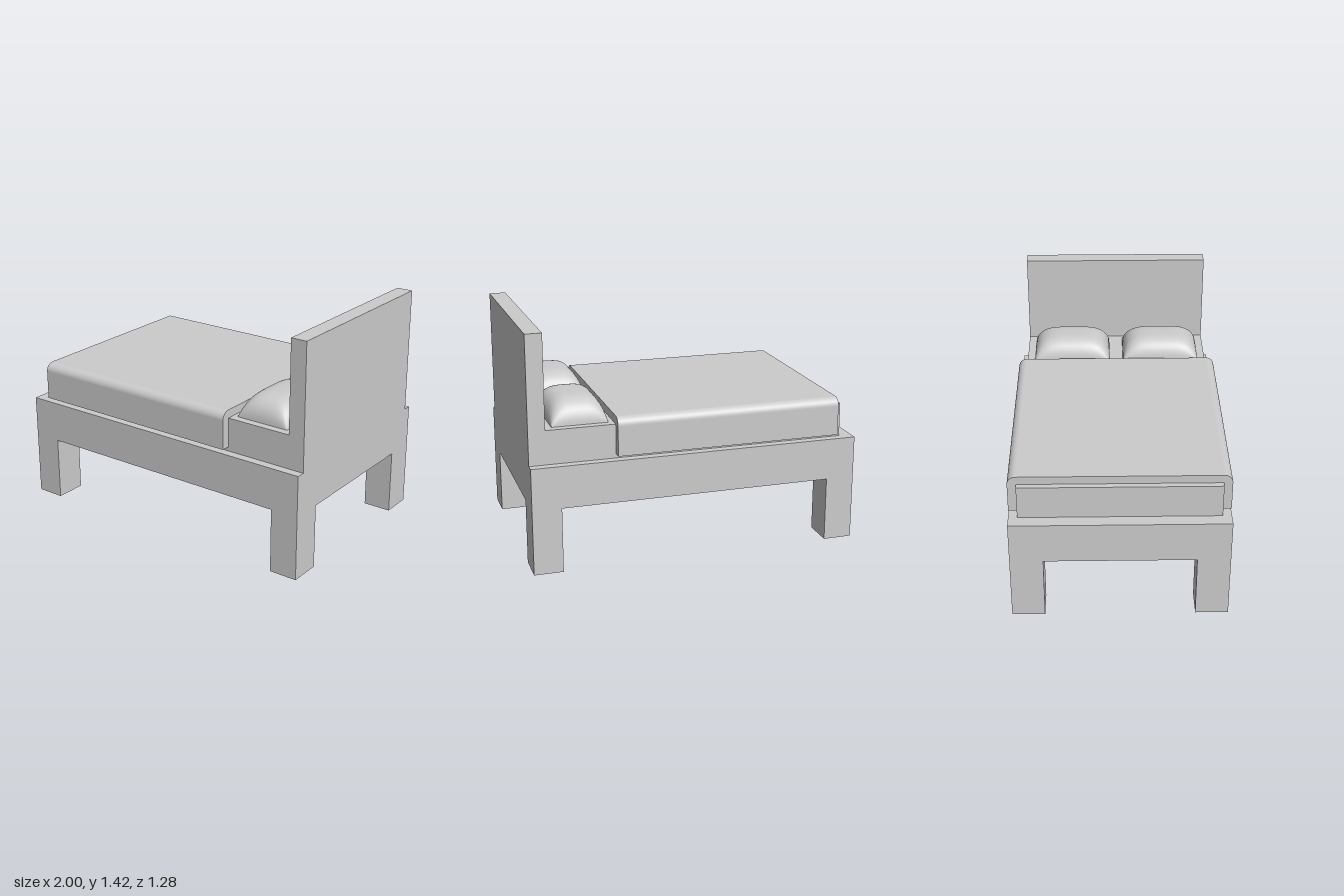
import * as THREE from 'three';

export function createModel() {
  const bed = new THREE.Group();
  bed.name = 'bed';
  const grey = new THREE.MeshStandardMaterial({ color: 0xcccccc });
  grey.name = 'light grey';

  function add(name, geometry) {
    const mesh = new THREE.Mesh(geometry, grey);
    mesh.name = name;
    bed.add(mesh);
    return mesh;
  }

  // Box given by its lower and upper corners
  function box(name, x0, x1, y0, y1, z0, z1) {
    add(name, new THREE.BoxGeometry(x1 - x0, y1 - y0, z1 - z0))
      .position.set((x0 + x1) / 2, (y0 + y1) / 2, (z0 + z1) / 2);
  }

  const W = 0.64, inner = 0.588, frameTop = 0.65, mattressTop = 0.855;

  // Frame, headboard and mattress
  box('frame', -1, 1, 0.395, frameTop, -W, W);
  box('headboard', 0.9, 1, frameTop, 1.42, -inner, inner);
  box('mattress', -0.92, 0.9, frameTop, mattressTop, -inner, inner);

  // Four legs flush with the frame corners
  for (const sx of [-1, 1]) {
    for (const sz of [-1, 1]) {
      const x = sx * 0.9125, z = sz * 0.5425;
      box('leg', x - 0.0875, x + 0.0875, 0, 0.395, z - 0.0975, z + 0.0975);
    }
  }

  // Blanket: a folded sheet with rounded shoulders, extruded along the bed
  const low = 0.675, top = 0.905, r = 0.05;
  const fold = new THREE.Shape();
  fold.moveTo(W, low);
  fold.lineTo(W, top - r);
  fold.absarc(W - r, top - r, r, 0, Math.PI / 2, false);
  fold.lineTo(-W + r, top);
  fold.absarc(-W + r, top - r, r, Math.PI / 2, Math.PI, false);
  fold.lineTo(-W, low);
  fold.lineTo(-inner, low);
  fold.lineTo(-inner, mattressTop);
  fold.lineTo(inner, mattressTop);
  fold.lineTo(inner, low);
  fold.closePath();
  const blanket = add('blanket',
    new THREE.ExtrudeGeometry(fold, { depth: 1.373, bevelEnabled: false, curveSegments: 10 }));
  blanket.rotation.y = Math.PI / 2;
  blanket.position.x = -0.885;

  // Pillows: a flat grid puffed up into a squarish dome
  const pillow = new THREE.PlaneGeometry(2, 2, 28, 28).rotateX(-Math.PI / 2);
  const p = pillow.attributes.position;
  for (let i = 0; i < p.count; i++) {
    const u = Math.sin(p.getX(i) * Math.PI / 2);
    const w = Math.sin(p.getZ(i) * Math.PI / 2);
    const rise = Math.max(0, (1 - Math.abs(u) ** 3.5) * (1 - Math.abs(w) ** 4));
    p.setXYZ(i, u * 0.168, 0.145 * Math.sqrt(rise), w * 0.248);
  }
  pillow.computeVertexNormals();
  for (const side of [-1, 1]) {
    add('pillow', pillow).position.set(0.687, mattressTop, side * 0.292);
  }

  return bed;
}
